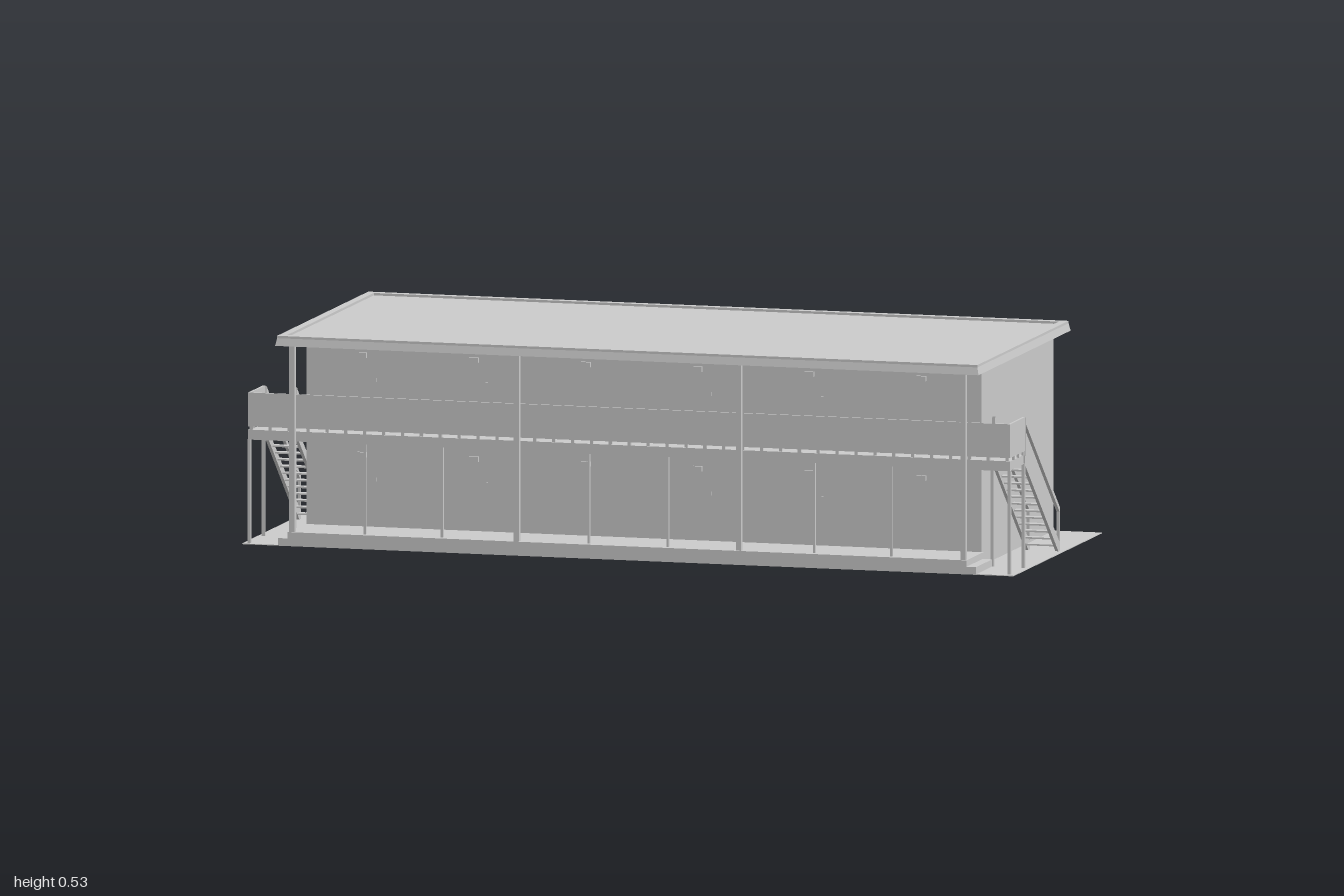
import * as THREE from 'three';

const grey = new THREE.MeshStandardMaterial({ color: 0xcccccc, flatShading: true });

// Box given by its min/max extents on each axis
function box(parent, name, x0, x1, y0, y1, z0, z1) {
  const mesh = new THREE.Mesh(new THREE.BoxGeometry(x1 - x0, y1 - y0, z1 - z0), grey);
  mesh.position.set((x0 + x1) / 2, (y0 + y1) / 2, (z0 + z1) / 2);
  mesh.name = name;
  parent.add(mesh);
  return mesh;
}

function group(parent, name) {
  const g = new THREE.Group();
  g.name = name;
  parent.add(g);
  return g;
}

// Side outline in (z, y), extruded along x from x0 to x1
function sideProfile(parent, name, pts, x0, x1) {
  const shape = new THREE.Shape(pts.map(([z, y]) => new THREE.Vector2(-z, y)));
  const geo = new THREE.ExtrudeGeometry(shape, { depth: x1 - x0, bevelEnabled: false });
  geo.rotateY(Math.PI / 2).translate(x0, 0, 0);
  const mesh = new THREE.Mesh(geo, grey);
  mesh.name = name;
  parent.add(mesh);
}

function rectPath(path, x, z0, z1) {
  path.moveTo(-x, z0);
  path.lineTo(x, z0);
  path.lineTo(x, z1);
  path.lineTo(-x, z1);
  path.closePath();
  return path;
}

function addRoof(parent) {
  const roof = group(parent, 'roof');
  // Slab, slightly narrower at its top
  const slab = box(roof, 'roofSlab', -0.912, 0.912, 0.503, 0.522, -0.402, 0.412);
  const p = slab.geometry.attributes.position;
  for (let i = 0; i < p.count; i++) {
    if (p.getY(i) > 0) {
      p.setX(i, p.getX(i) - Math.sign(p.getX(i)) * 0.004);
      p.setZ(i, p.getZ(i) - Math.sign(p.getZ(i)) * 0.004);
    }
  }
  slab.geometry.computeVertexNormals();
  // Raised rim
  const shape = rectPath(new THREE.Shape(), 0.908, -0.408, 0.398);
  shape.holes.push(rectPath(new THREE.Path(), 0.888, -0.388, 0.378));
  const geo = new THREE.ExtrudeGeometry(shape, { depth: 0.006, bevelEnabled: false });
  geo.rotateX(-Math.PI / 2).translate(0, 0.522, 0);
  const rim = new THREE.Mesh(geo, grey);
  rim.name = 'roofRim';
  roof.add(rim);
  box(roof, 'ceilingHatch', -0.86, -0.8, 0.498, 0.503, 0.295, 0.35);
}

function addWalkway(parent) {
  const walk = group(parent, 'upperWalkway');
  box(walk, 'walkwaySlab', -0.985, 0.985, 0.262, 0.285, 0.26, 0.385);
  box(walk, 'edgeBeam', -0.988, 0.988, 0.262, 0.287, 0.385, 0.393);
  box(walk, 'frontParapet', -0.988, 0.988, 0.295, 0.38, 0.386, 0.392);
  // Short feet holding the parapet above the slab
  for (let i = 0; i <= 40; i++) {
    const x = -0.98 + i * 0.049;
    box(walk, 'parapetFoot', x - 0.004, x + 0.004, 0.285, 0.296, 0.386, 0.391);
  }
  for (const s of [-1, 1]) {
    const x = s * 0.985;
    box(walk, 'endParapet', x - 0.003, x + 0.003, 0.295, 0.38, 0.26, 0.388);
    for (const z of [0.268, 0.31, 0.35])
      box(walk, 'parapetFoot', x - 0.003, x + 0.003, 0.285, 0.296, z - 0.003, z + 0.003);
    for (const z of [0.264, 0.388])
      box(walk, 'landingPost', x - 0.004, x + 0.004, 0, 0.263, z - 0.004, z + 0.004);
    box(walk, 'landingPost', s * 0.905 - 0.004, s * 0.905 + 0.004, 0, 0.263, 0.26, 0.268);
  }
  // Main columns up to the roof, slim posts under the walkway
  for (const x of [-0.87, -0.288, 0.288, 0.87])
    box(walk, 'column', x - 0.007, x + 0.007, 0.03, 0.504, 0.393, 0.406);
  for (const x of [-0.685, -0.485, -0.105, 0.1, 0.48, 0.68])
    box(walk, 'lowerPost', x - 0.003, x + 0.003, 0.03, 0.263, 0.386, 0.393);
}

function addStair(parent, s) {
  const stair = group(parent, s > 0 ? 'leftStair' : 'rightStair');
  for (const x of [s * 0.906, s * 0.984]) {
    const a = x - 0.004, b = x + 0.004;
    sideProfile(stair, 'stringer',
      [[0.262, 0.286], [0.262, 0.262], [-0.035, 0.002], [-0.05, 0.002], [-0.05, 0.02]], a, b);
    sideProfile(stair, 'handrail',
      [[0.255, 0.378], [0.255, 0.364], [-0.05, 0.096], [-0.05, 0.11]], a, b);
    box(stair, 'newelPost', a, b, 0.002, 0.105, -0.05, -0.045);
    box(stair, 'newelPost', a, b, 0.275, 0.375, 0.25, 0.257);
  }
  const n = 14;
  for (let i = 1; i < n; i++) {
    const t = i / n, y = 0.282 * t, z = -0.05 + 0.31 * t;
    box(stair, 'tread', s * 0.945 - 0.037, s * 0.945 + 0.037, y - 0.004, y, z - 0.013, z + 0.009);
  }
}

// Rear window: x is its +x edge, y the bottom of its guard rail
function addWindow(parent, x, y) {
  const win = group(parent, 'rearWindow');
  const wall = -0.375;
  sideProfile(win, 'awning',
    [[wall, y + 0.149], [wall, y + 0.136], [-0.395, y + 0.136], [-0.395, y + 0.14]], x - 0.24, x);
  box(win, 'shutterBox', x - 0.24, x - 0.16, y + 0.01, y + 0.136, -0.388, wall);
  // Frame with a centre mullion around the glazing
  box(win, 'glazing', x - 0.155, x - 0.012, y + 0.018, y + 0.128, -0.3765, wall);
  for (const fx of [x - 0.16, x - 0.086, x - 0.014])
    box(win, 'frameUpright', fx, fx + 0.005, y + 0.01, y + 0.136, -0.38, wall);
  box(win, 'frameSill', x - 0.16, x - 0.009, y + 0.01, y + 0.016, -0.381, wall);
  // Guard rail
  const r0 = x - 0.158, r1 = x - 0.008;
  for (const ry of [y, y + 0.062]) {
    box(win, 'guardBar', r0, r1, ry, ry + 0.004, -0.393, -0.389);
    for (const rx of [r0, r1 - 0.004])
      box(win, 'guardBracket', rx, rx + 0.004, ry, ry + 0.004, -0.39, wall);
  }
  for (let i = 0; i <= 10; i++) {
    const bx = r0 + (i / 10) * (r1 - r0 - 0.003);
    box(win, 'guardBaluster', bx, bx + 0.003, y, y + 0.064, -0.393, -0.39);
  }
}

function addCoolingUnit(parent, x) {
  const unit = group(parent, 'coolingUnit');
  box(unit, 'unitCase', x - 0.028, x + 0.028, 0.009, 0.05, -0.408, -0.385);
  for (const s of [-1, 1])
    box(unit, 'unitFoot', x + s * 0.02 - 0.005, x + s * 0.02 + 0.005, 0.001, 0.01, -0.412, -0.381);
  const fan = new THREE.Mesh(new THREE.CylinderGeometry(0.014, 0.014, 0.002, 16), grey);
  fan.rotation.x = Math.PI / 2;
  fan.position.set(x + 0.008, 0.03, -0.4085);
  fan.name = 'fanCover';
  unit.add(fan);
}

export function createModel() {
  const model = new THREE.Group();
  model.name = 'apartmentBlock';

  box(model, 'groundSlab', -1, 1, 0, 0.002, -0.38, 0.405);
  box(model, 'mainBlock', -0.875, 0.875, 0.001, 0.504, -0.375, 0.26);

  // Front porch with a low step at each end
  box(model, 'porch', -0.88, 0.88, 0.001, 0.036, 0.259, 0.41);
  for (const s of [-1, 1])
    box(model, 'porchStep', s * 0.8925 - 0.0125, s * 0.8925 + 0.0125, 0.001, 0.02, 0.265, 0.41);

  addRoof(model);
  addWalkway(model);
  addStair(model, 1);
  addStair(model, -1);

  // Small lamps and plates on the front wall
  for (let i = 0; i < 6; i++) {
    const x = -0.73 + i * 0.29;
    for (const y of [0, -0.25]) {
      box(model, 'wallLamp', x - 0.012, x + 0.012, y + 0.46, y + 0.473, 0.26, 0.268);
      box(model, 'wallPlate', x + 0.03, x + 0.036, y + 0.4, y + 0.41, 0.26, 0.262);
    }
  }

  // Rear windows on both floors and the cooling units below them
  for (let i = 0; i < 6; i++) {
    const x = 0.85 - i * 0.29;
    addWindow(model, x, 0.315);
    addWindow(model, x, 0.068);
    addCoolingUnit(model, x - 0.22);
    addCoolingUnit(model, i < 5 ? x - 0.3 : x - 0.14 - 0.15);
  }
  return model;
}
